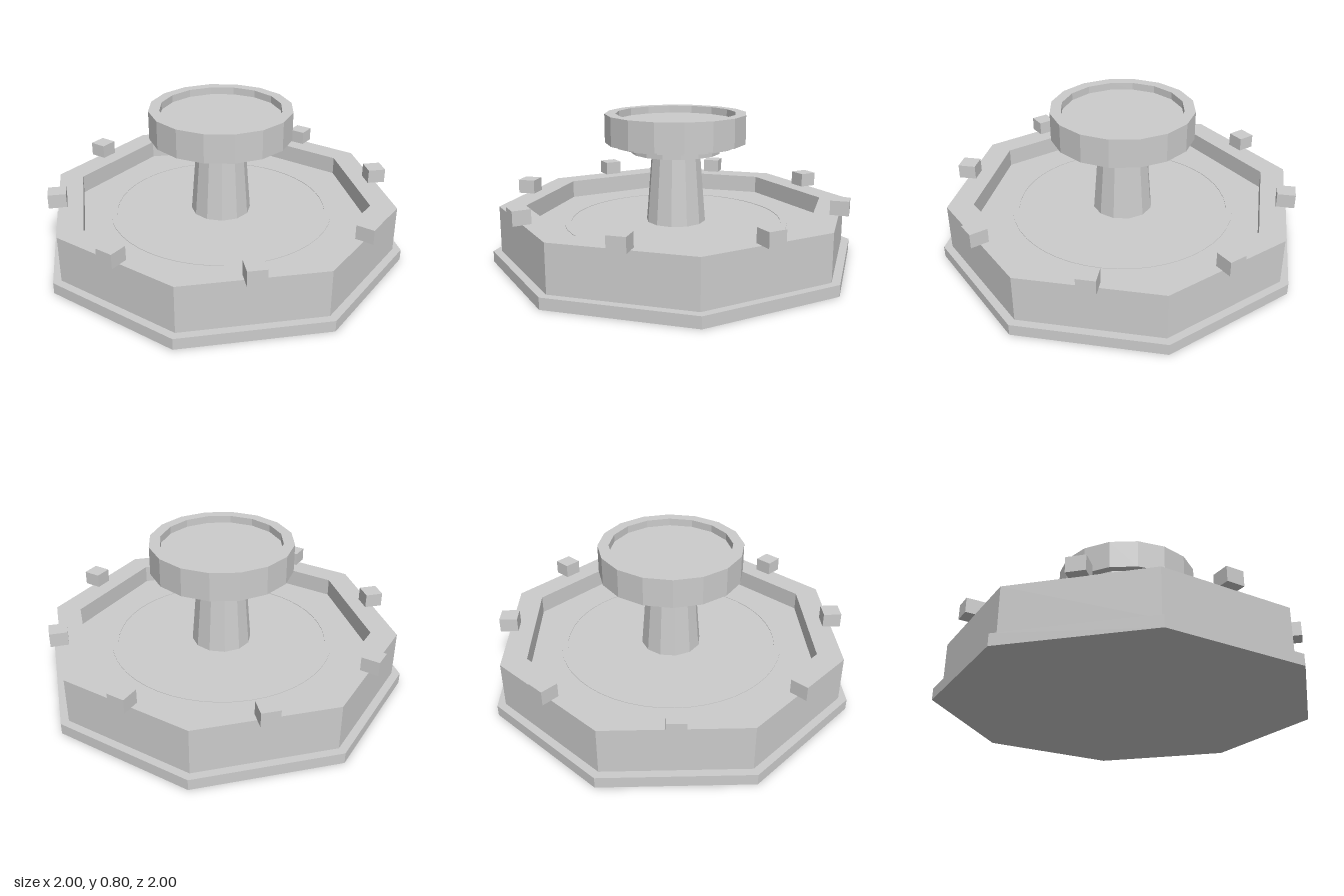
import * as THREE from 'three';

const material = new THREE.MeshStandardMaterial({ color: 0xcccccc, flatShading: true });

function add(group, name, geometry) {
  const mesh = new THREE.Mesh(geometry, material);
  mesh.name = name;
  group.add(mesh);
  return mesh;
}

// Faceted turned part; the profile runs from the underside outward, up and back in.
function turned(profile, sides) {
  return new THREE.LatheGeometry(profile.map(([r, y]) => new THREE.Vector2(r, y)), sides);
}

export function createModel() {
  const fountain = new THREE.Group();
  fountain.name = 'fountain';
  const waterY = 0.21;

  // Octagonal plinth and basin wall with a sunken floor
  add(fountain, 'basin', turned([
    [0, 0], [1, 0], [1, 0.06], [0.955, 0.06], [0.955, 0.31],
    [0.815, 0.31], [0.815, waterY], [0, waterY],
  ], 8));

  // Very shallow ring on the basin floor
  add(fountain, 'floorRing', turned([
    [0.61, waterY], [0.61, waterY + 0.003], [0.575, waterY + 0.003], [0.575, waterY],
  ], 48));

  // Tapered column
  const column = add(fountain, 'column', new THREE.CylinderGeometry(0.132, 0.163, 0.39, 12));
  column.position.y = 0.4;

  // Collar, stepped underside and hollow upper bowl
  add(fountain, 'upperBowl', turned([
    [0, 0.59], [0.243, 0.59], [0.243, 0.632], [0.34, 0.632], [0.34, 0.648],
    [0.383, 0.648], [0.383, 0.802], [0.325, 0.802], [0.325, 0.762], [0, 0.762],
  ], 16));

  // One block on the middle of each rim side
  for (let i = 0; i < 8; i++) {
    const angle = (i + 0.5) * Math.PI / 4;
    const block = add(fountain, 'rimBlock', new THREE.BoxGeometry(0.096, 0.077, 0.096));
    block.position.set(Math.sin(angle) * 0.885, 0.3475, Math.cos(angle) * 0.885);
    block.rotation.y = angle;
  }

  return fountain;
}
